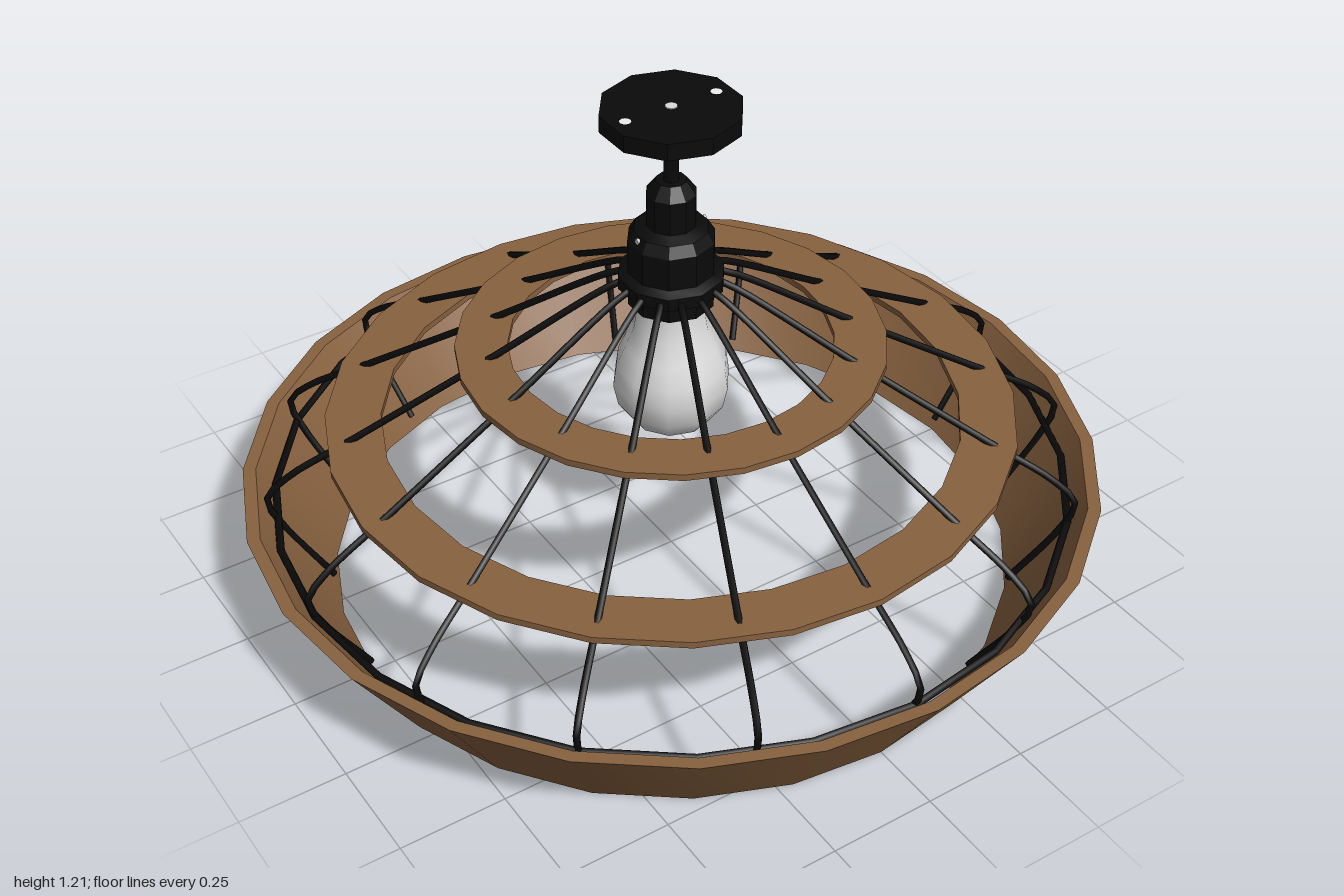
import * as THREE from 'three';
import { toCreasedNormals } from 'three/addons/utils/BufferGeometryUtils.js';

const mat = (name, color) => {
  const m = new THREE.MeshStandardMaterial({ color });
  m.name = name;
  return m;
};

export function createModel() {
  const wood = mat('brown wood', 0x87613f);
  const metal = mat('black metal', 0x0a0a0a);
  const glass = mat('white glass', 0xdcdcdc);
  const model = new THREE.Group();
  model.name = 'pendantLamp';

  const add = (name, geometry, material, parent = model) => {
    const mesh = new THREE.Mesh(geometry, material);
    mesh.name = name;
    parent.add(mesh);
    return mesh;
  };
  // Profiles are [radius, height] pairs, running upwards on the outside
  const lathe = (profile, sides) =>
    new THREE.LatheGeometry(profile.map(([r, y]) => new THREE.Vector2(r, y)), sides);
  const creased = (profile, sides, angle = 0.5) => toCreasedNormals(lathe(profile, sides), angle);

  // Flared wooden rim
  add('rim', creased([[0.803, 0], [0.83, 0], [1, 0.27], [0.97, 0.27], [0.803, 0]], 24), wood);

  // Flat wooden hoops
  const hoop = (name, inner, outer, y, t = 0.016) =>
    add(name, creased([[inner, y], [outer, y], [outer, y + t], [inner, y + t], [inner, y]], 24), wood);
  hoop('lowerHoop', 0.668, 0.797, 0.405);
  hoop('upperHoop', 0.37, 0.49, 0.592);

  // Sixteen bent wires from the socket down inside the rim
  const wires = new THREE.Group();
  wires.name = 'wires';
  model.add(wires);
  const path = new THREE.CatmullRomCurve3(
    [[0.08, 0.785], [0.13, 0.772], [0.42, 0.602], [0.74, 0.42], [0.89, 0.335], [0.94, 0.28], [0.912, 0.2], [0.808, 0.03]]
      .map(([r, y]) => new THREE.Vector3(r, y, 0)));
  const wireGeometry = new THREE.TubeGeometry(path, 36, 0.008, 6);
  for (let i = 0; i < 16; i++) {
    add('wire', wireGeometry, metal, wires).rotation.y = (i * Math.PI) / 8;
  }

  // Wire ring that ties the wires together inside the rim
  const ring = add('wireRing', new THREE.TorusGeometry(0.928, 0.009, 6, 24), metal);
  ring.rotation.x = Math.PI / 2;
  ring.position.y = 0.225;

  // Bulb
  add('bulb', lathe([[0, 0.372], [0.05, 0.378], [0.095, 0.4], [0.126, 0.445], [0.137, 0.5],
    [0.13, 0.55], [0.11, 0.6], [0.088, 0.65], [0.08, 0.7], [0.078, 0.74]], 10), glass);

  // Stepped socket
  add('socket', creased([[0, 0.72], [0.1, 0.72], [0.1, 0.755], [0.122, 0.765], [0.122, 0.795], [0.1, 0.805],
    [0.1, 0.885], [0.085, 0.91], [0.057, 0.92], [0.057, 1.0], [0.035, 1.03], [0, 1.03]], 10), metal);

  // Small pale screws on both sides of the socket
  for (const side of [-1, 1]) {
    const screw = add('socketScrew', new THREE.CylinderGeometry(0.007, 0.007, 0.006, 8), glass);
    screw.rotation.z = Math.PI / 2;
    screw.position.set(side * 0.087, 0.9, 0);
  }

  // Stem and nut
  const cylinder = (name, r, y0, y1, sides) => {
    add(name, new THREE.CylinderGeometry(r, r, y1 - y0, sides), metal).position.y = (y0 + y1) / 2;
  };
  cylinder('stem', 0.017, 1.02, 1.18, 10);
  cylinder('nut', 0.037, 1.145, 1.175, 10);

  // Ten-sided ceiling plate with two screw holes
  const plate = new THREE.Shape(Array.from({ length: 10 }, (_, i) => {
    const a = (i * Math.PI) / 5;
    return new THREE.Vector2(0.158 * Math.sin(a), 0.158 * Math.cos(a));
  }));
  for (const x of [-0.115, 0.115]) {
    plate.holes.push(new THREE.Path().absarc(x, 0, 0.013, 0, Math.PI * 2, true));
  }
  const canopy = add('ceilingPlate',
    new THREE.ExtrudeGeometry(plate, { depth: 0.04, bevelEnabled: false, curveSegments: 6 }), metal);
  canopy.rotation.x = -Math.PI / 2;
  canopy.position.y = 1.17;

  // Pale dot in the middle of the plate
  add('stemEnd', new THREE.CylinderGeometry(0.014, 0.014, 0.004, 10), glass).position.y = 1.21;

  return model;
}
